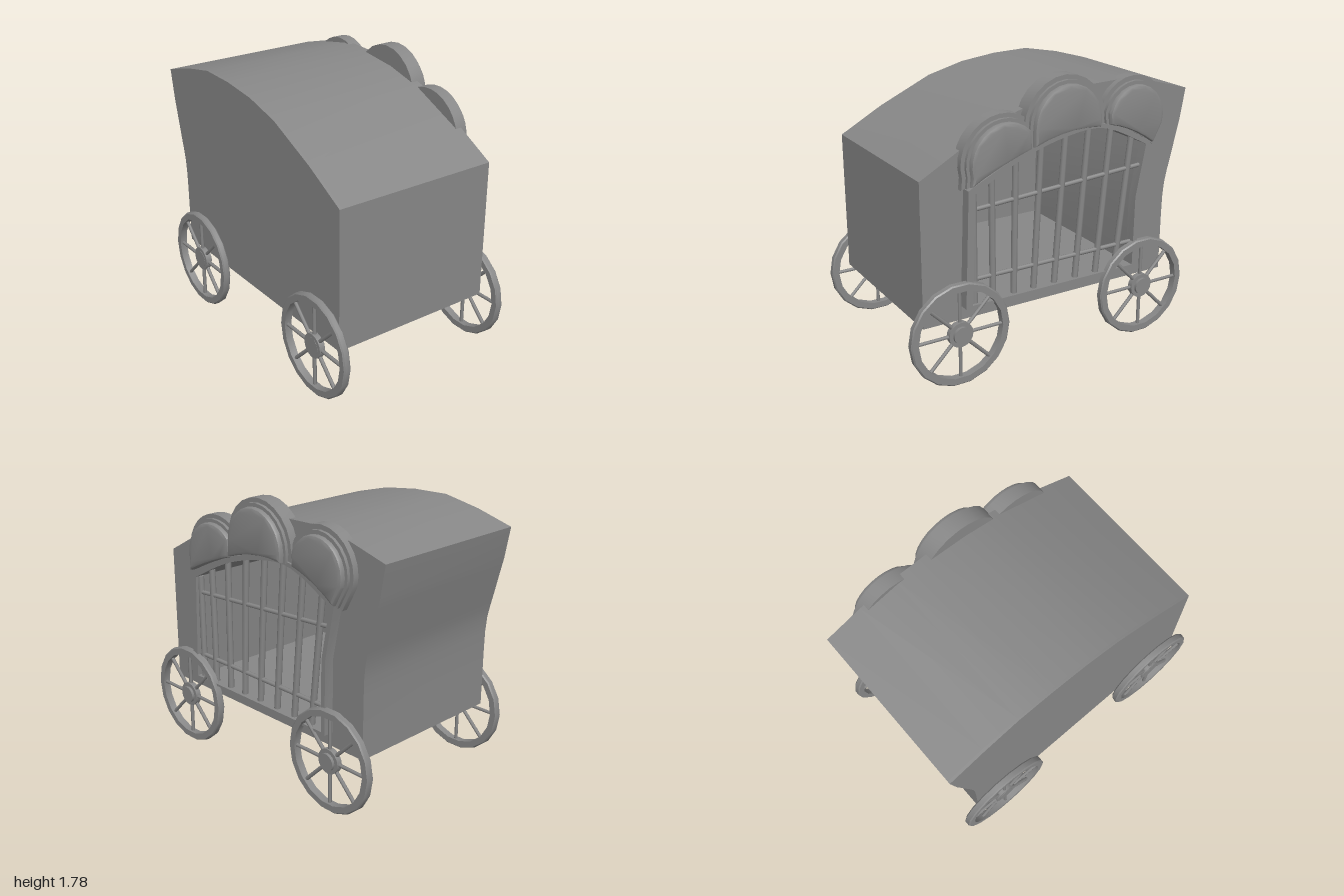
import * as THREE from 'three';
import { toCreasedNormals } from 'three/addons/utils/BufferGeometryUtils.js';

const material = new THREE.MeshStandardMaterial({ color: 0x878787 });
const V = (u, y) => new THREE.Vector2(u, y);
const pts = (list) => list.map(([u, y]) => V(u, y));
const spline = (list, n) => new THREE.SplineCurve(pts(list)).getPoints(n);

function add(parent, name, geometry) {
  const mesh = new THREE.Mesh(geometry, material);
  mesh.name = name;
  parent.add(mesh);
  return mesh;
}

// Side outline in (u = -z, y), extruded across the wagon from x0 to x1.
// Outlines run clockwise; the hole is turned the other way so its walls face inward.
function slab(outline, x0, x1, hole, bevel = 0) {
  const shape = new THREE.Shape(outline);
  if (hole) shape.holes.push(new THREE.Path([...hole].reverse()));
  const geo = new THREE.ExtrudeGeometry(shape, {
    depth: x1 - x0 - bevel, bevelEnabled: bevel > 0, bevelThickness: bevel,
    bevelSize: bevel, bevelOffset: -bevel, bevelSegments: 2,
  });
  geo.translate(0, 0, x0).rotateY(Math.PI / 2);
  return toCreasedNormals(geo, 0.5);
}

// Rod between two points given as (u, y) in the plane of the cage
function rod(parent, name, [u0, y0], [u1, y1], radius, x) {
  const a = new THREE.Vector3(x, y0, -u0), b = new THREE.Vector3(x, y1, -u1);
  const dir = b.clone().sub(a);
  const mesh = add(parent, name, new THREE.CylinderGeometry(radius, radius, dir.length(), 8));
  mesh.position.copy(a).addScaledVector(dir, 0.5);
  mesh.quaternion.setFromUnitVectors(new THREE.Vector3(0, 1, 0), dir.normalize());
}

function makeWheel() {
  const wheel = new THREE.Group();
  const rim = new THREE.LatheGeometry(pts([
    [0.28, -0.024], [0.32, -0.024], [0.328, -0.016], [0.328, 0.016],
    [0.32, 0.024], [0.28, 0.024], [0.28, -0.024],
  ]), 18);
  add(wheel, 'wheelRim', toCreasedNormals(rim.rotateZ(-Math.PI / 2), 0.5));
  for (let i = 0; i < 8; i++) {
    const spoke = new THREE.CylinderGeometry(0.012, 0.012, 0.24, 6).translate(0, 0.17, 0);
    add(wheel, 'spoke', spoke).rotation.x = (i * Math.PI) / 4;
  }
  add(wheel, 'hub', new THREE.CylinderGeometry(0.08, 0.08, 0.036, 16).rotateZ(Math.PI / 2));
  add(wheel, 'hubCap', new THREE.CylinderGeometry(0.055, 0.055, 0.055, 16)
    .rotateZ(Math.PI / 2).translate(0.008, 0, 0));
  return wheel;
}

// Arched crest: left foot, circular arc, right foot and a bowed base, in stacked layers
function makeCrest({ c, r, from, to, left, right, bow, x0, x1 }) {
  const crest = new THREE.Group();
  const outline = [V(...left)];
  const rad = Math.PI / 180, steps = 12;
  for (let i = 0; i <= steps; i++) {
    const a = (from + ((to - from) * i) / steps) * rad;
    outline.push(V(c[0] + r * Math.cos(a), c[1] + r * Math.sin(a)));
  }
  outline.push(V(...right));
  for (let i = 1; i < 5; i++) {
    const t = i / 5;
    outline.push(V(...right).lerp(V(...left), t).add(V(0, bow * 4 * t * (1 - t))));
  }
  const centre = V(c[0], (c[1] + (left[1] + right[1]) / 2 + bow) / 2);
  const layer = (inset) => outline.map((p) => p.clone().sub(centre).multiplyScalar(1 - inset / r).add(centre));
  add(crest, 'crestRim', slab(outline, x0, x1 - 0.053));
  add(crest, 'crestStep', slab(layer(0.025), x1 - 0.06, x1 - 0.033));
  add(crest, 'crestPanel', slab(layer(0.045), x1 - 0.06, x1, null, 0.02));
  return crest;
}

export function createModel() {
  const model = new THREE.Group();
  model.name = 'cageWagon';

  // Hollow body with a curved roof and flared rear wall
  const roof = pts([[-0.6, 1.44], [-0.25, 1.6], [0, 1.665], [0.25, 1.695],
    [0.5, 1.702], [0.75, 1.655], [1, 1.585]]);
  const rear = spline([[0.965, 1.385], [0.91, 1.16], [0.863, 0.95], [0.856, 0.7]], 8);
  const body = [V(-0.88, 0.385), V(-0.88, 1.285), ...roof, ...rear, V(0.856, 0.385)];
  const opening = [V(-0.585, 0.49),
    ...spline([[-0.56, 1.177], [-0.246, 1.335], [0.075, 1.425], [0.34, 1.43], [0.65, 1.285]], 16),
    V(0.585, 0.945), V(0.58, 0.49)];
  add(model, 'body', slab(body, -0.565, 0.522, opening));
  add(model, 'backWall', slab(body, -0.582, -0.565));

  // Raised frame around the opening
  const frame = [V(-0.63, 0.475), V(-0.605, 1.2),
    ...spline([[-0.59, 1.21], [-0.245, 1.37], [0.02, 1.446], [0.29, 1.465], [0.5, 1.4], [0.685, 1.295]], 16),
    V(0.615, 0.945), V(0.61, 0.475)];
  add(model, 'cageFrame', slab(frame, 0.522, 0.587, opening));

  // Leaning upright bars: [bottom u, top u, top y]
  const bars = [[-0.555, -0.555, 1.18], [-0.43, -0.435, 1.25], [-0.285, -0.275, 1.33], [-0.145, -0.1, 1.39],
    [0.005, 0.07, 1.43], [0.16, 0.235, 1.44], [0.315, 0.4, 1.42], [0.465, 0.56, 1.35]];
  for (const [u0, u1, y1] of bars) rod(model, 'uprightBar', [u0, 0.485], [u1, y1], 0.02, 0.55);
  rod(model, 'lowerCrossBar', [-0.59, 0.64], [0.59, 0.64], 0.014, 0.55);
  rod(model, 'upperCrossBar', [-0.57, 1.07], [0.63, 1.145], 0.014, 0.55);

  // Three arched crests above the cage
  const crests = [
    { name: 'frontCrest', c: [-0.365, 1.34], r: 0.275, from: 195, to: 45,
      left: [-0.638, 1.2], right: [-0.16, 1.4], bow: 0.012, x0: 0.48, x1: 0.613 },
    { name: 'middleCrest', c: [0.05, 1.51], r: 0.28, from: 180, to: 0,
      left: [-0.23, 1.38], right: [0.325, 1.45], bow: 0.035, x0: 0.475, x1: 0.628 },
    { name: 'rearCrest', c: [0.555, 1.475], r: 0.25, from: 165, to: -15,
      left: [0.32, 1.455], right: [0.72, 1.265], bow: 0.025, x0: 0.48, x1: 0.613 },
  ];
  for (const { name, ...spec } of crests) {
    const crest = makeCrest(spec);
    crest.name = name;
    model.add(crest);
  }

  // Four spoked wheels
  for (const [side, x] of [['Left', 0.584], ['Right', -0.608]]) {
    for (const [end, z] of [['front', 0.673], ['rear', -0.653]]) {
      const wheel = makeWheel();
      wheel.name = `${end}${side}Wheel`;
      wheel.position.set(x, 0.33, z);
      model.add(wheel);
    }
  }
  return model;
}
